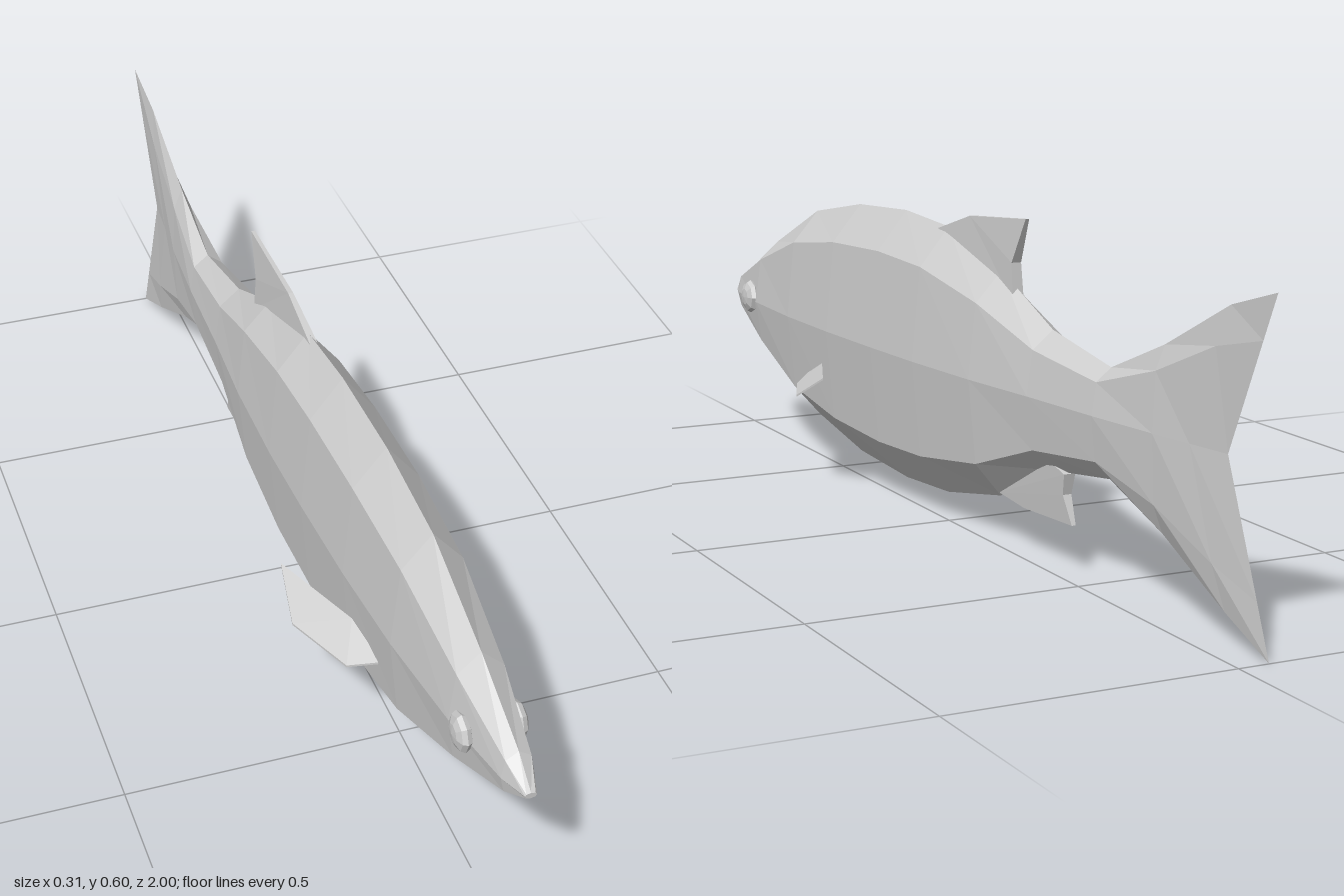
import * as THREE from 'three';
import { ConvexGeometry } from 'three/addons/geometries/ConvexGeometry.js';

const MID = 0.307; // height of the body's midline
const spine = (z) => -0.0145 + 0.04 * z; // the fish is turned slightly, nose towards +x

// Body cross-sections from nose to tail tips: [z of top and bottom, z of middle, top y, bottom y, half width]
const SECTIONS = [
  [1.0, 1.0, 0.312, 0.301, 0.01],
  [0.95, 0.95, 0.355, 0.265, 0.028],
  [0.8, 0.8, 0.435, 0.19, 0.052],
  [0.6, 0.6, 0.522, 0.098, 0.069],
  [0.4, 0.4, 0.557, 0.058, 0.076],
  [0.2, 0.2, 0.567, 0.045, 0.077],
  [0.03, 0.03, 0.555, 0.052, 0.075],
  [-0.17, -0.17, 0.5, 0.088, 0.066],
  [-0.35, -0.35, 0.42, 0.172, 0.05],
  [-0.54, -0.54, 0.386, 0.196, 0.037],
  [-0.7, -0.7, 0.45, 0.14, 0.022],
  [-0.88, -0.79, 0.54, 0.055, 0.011],
  [-1.0, -0.88, 0.575, 0.005, 0],
];

// Eight-sided ring: fraction of half width, fraction of height from the midline
const RING = [[0, 1], [-0.78, 0.71], [-1, 0], [-0.78, -0.71], [0, -1], [0.78, -0.71], [1, 0], [0.78, 0.71]];

function bodyGeometry() {
  const n = RING.length, pos = [], index = [];
  for (const [zEnd, zMid, top, bottom, w] of SECTIONS) {
    for (const [fx, fy] of RING) {
      const z = zMid + (zEnd - zMid) * Math.abs(fy);
      const y = MID + fy * (fy > 0 ? top - MID : MID - bottom);
      pos.push(spine(z) + fx * w, y, z);
    }
  }
  for (let i = 0; i < SECTIONS.length - 1; i++) {
    for (let j = 0; j < n; j++) {
      const a = i * n + j, b = i * n + (j + 1) % n;
      index.push(a, a + n, b, b, a + n, b + n);
    }
  }
  for (let j = 1; j < n - 1; j++) index.push(0, j, j + 1); // nose cap
  const g = new THREE.BufferGeometry();
  g.setAttribute('position', new THREE.Float32BufferAttribute(pos, 3));
  g.setIndex(index);
  const flat = g.toNonIndexed();
  flat.computeVertexNormals();
  return flat;
}

// Upright fin from a [z, y] outline, thick at the root and thin at the tip
function finGeometry(outline, rootY, tipY) {
  const shape = new THREE.Shape(outline.map(([z, y]) => new THREE.Vector2(-z, y)));
  const g = new THREE.ExtrudeGeometry(shape, { depth: 1, bevelEnabled: false });
  g.translate(0, 0, -0.5).rotateY(Math.PI / 2);
  const p = g.attributes.position;
  for (let i = 0; i < p.count; i++) {
    const t = THREE.MathUtils.clamp((p.getY(i) - rootY) / (tipY - rootY), 0, 1);
    p.setX(i, spine(p.getZ(i)) + p.getX(i) * (0.022 - 0.015 * t));
  }
  g.computeVertexNormals();
  return g;
}

export function createModel() {
  const group = new THREE.Group();
  const material = new THREE.MeshStandardMaterial({ color: 0xcccccc, flatShading: true, side: THREE.DoubleSide });
  const add = (name, geometry) => {
    const mesh = new THREE.Mesh(geometry, material);
    mesh.name = name;
    group.add(mesh);
    return mesh;
  };

  add('bodyAndTail', bodyGeometry());

  add('dorsalFin', finGeometry(
    [[0.06, 0.535], [0.055, 0.55], [-0.06, 0.585], [-0.26, 0.601], [-0.222, 0.52], [-0.23, 0.45]], 0.5, 0.6));
  add('analFin', finGeometry(
    [[-0.17, 0.095], [-0.26, 0.085], [-0.425, 0.09], [-0.402, 0.14], [-0.41, 0.178], [-0.33, 0.2]], 0.17, 0.085));

  // Paired fins and eyes
  for (const side of [1, -1]) {
    const label = side > 0 ? 'left' : 'right';
    const outline = [[0.05, 0.208, 0.535], [0.1, 0.185, 0.5], [0.155, 0.189, 0.37], [0.142, 0.24, 0.265], [0.07, 0.234, 0.44]];
    const points = outline.flatMap(([x, y, z]) => [
      new THREE.Vector3(side * x, y + 0.002, z),
      new THREE.Vector3(side * x, y - 0.002, z),
    ]);
    add(label + 'PectoralFin', new ConvexGeometry(points));

    const eye = add(label + 'Eye', new THREE.SphereGeometry(0.035, 8, 6).rotateZ(Math.PI / 2));
    eye.scale.x = 0.47;
    eye.position.set(spine(0.84) + side * 0.047, 0.314, 0.84);
  }
  return group;
}
